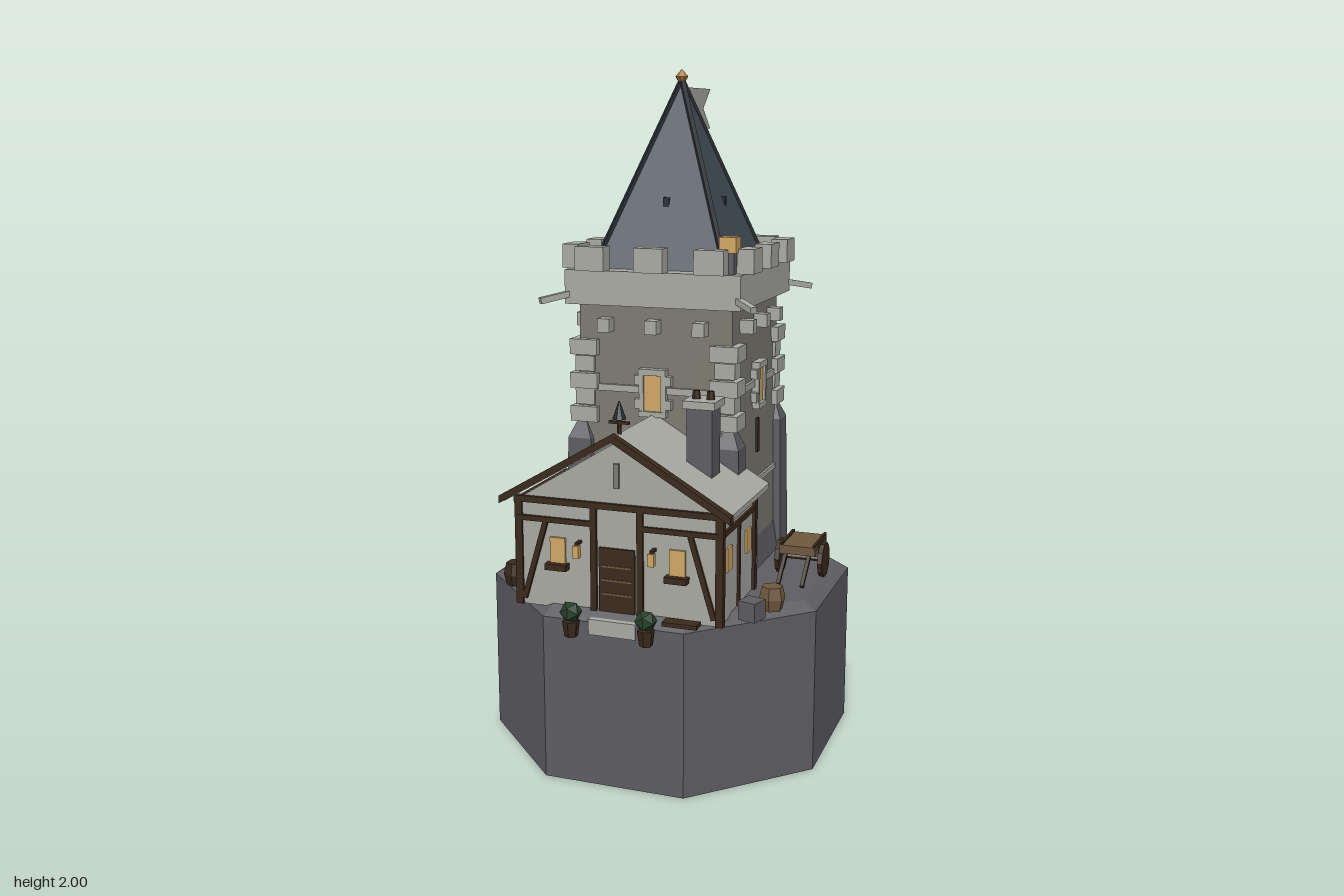
import * as THREE from 'three';

const mat = (name, color) => { const m = new THREE.MeshStandardMaterial({ color }); m.name = name; return m; };

export function createModel() {
  const stone = mat('paleStone', 0xa9a9a3), wall = mat('towerStone', 0x7c7970), rock = mat('rock', 0x5d5d62);
  const slate = mat('slate', 0x404b54), ridge = mat('darkSlate', 0x272d32), glow = mat('windowGlow', 0xd0a764);
  const gold = mat('gold', 0xa87840), wood = mat('darkWood', 0x3a291c), plank = mat('lightWood', 0x6e573e), leaf = mat('leaf', 0x26402a);
  const root = new THREE.Group();
  const TZ = -0.105; // tower centre

  const add = (name, geo, m, x = 0, y = 0, z = 0, parent = root) => {
    const g = geo.index ? geo.toNonIndexed() : geo;
    g.computeVertexNormals();
    const mesh = new THREE.Mesh(g, m);
    mesh.name = name;
    mesh.position.set(x, y, z);
    parent.add(mesh);
    return mesh;
  };
  const box = (name, m, w, h, d, x, y, z, parent) => add(name, new THREE.BoxGeometry(w, h, d), m, x, y, z, parent);
  const cyl = (name, m, rt, rb, h, n, x, y, z, parent) => add(name, new THREE.CylinderGeometry(rt, rb, h, n), m, x, y, z, parent);
  // Square frustum given by half widths and bottom/top heights
  const frustum = (name, m, top, bottom, y0, y1, x, z, parent) => add(name,
    new THREE.CylinderGeometry(top * Math.SQRT2, bottom * Math.SQRT2, y1 - y0, 4).rotateY(Math.PI / 4), m, x, (y0 + y1) / 2, z, parent);
  // Square bar between two points
  const bar = (name, m, a, b, w, h = w) => {
    const p = new THREE.Vector3(...a), q = new THREE.Vector3(...b);
    const mesh = box(name, m, w, h, p.distanceTo(q), 0, 0, 0);
    mesh.position.copy(p).add(q).multiplyScalar(0.5);
    mesh.lookAt(q);
    return mesh;
  };
  const extrude = (name, m, pts, depth, z) => add(name, new THREE.ExtrudeGeometry(
    new THREE.Shape(pts.map(p => new THREE.Vector2(...p))), { depth, bevelEnabled: false }), m, 0, 0, z);

  // Octagonal rock with chamfered rim
  const R = 0.506 / Math.cos(Math.PI / 8);
  add('rockBase', new THREE.CylinderGeometry(R, R, 0.485, 8).rotateY(Math.PI / 8), rock, 0, 0.2425, -0.03);
  add('rockRim', new THREE.CylinderGeometry(R - 0.043, R, 0.025, 8).rotateY(Math.PI / 8), rock, 0, 0.4975, -0.03);

  // Tower body, plinth, string courses and parapet
  frustum('towerBody', wall, 0.233, 0.25, 0.5, 1.34, 0, TZ);
  frustum('plinth', rock, 0.249, 0.264, 0.5, 0.6, 0, TZ);
  box('lowerBand', stone, 0.502, 0.016, 0.502, 0, 0.78, TZ);
  box('upperBand', stone, 0.494, 0.02, 0.494, 0, 1.085, TZ);
  box('parapet', stone, 0.534, 0.1, 0.534, 0, 1.38, TZ);

  // Details repeated on the four tower sides
  for (let i = 0; i < 4; i++) {
    const side = new THREE.Group();
    side.name = 'towerSide';
    side.position.z = TZ;
    side.rotation.y = i * Math.PI / 2;
    root.add(side);
    for (const x of [-0.18, 0, 0.18]) box('merlon', stone, 0.088, 0.07, 0.05, x, 1.465, 0.267, side);
    for (const x of [-0.145, 0, 0.145]) box('corbel', stone, 0.037, 0.04, 0.05, x, 1.272, 0.25, side);
    box('windowGlass', glow, 0.056, 0.11, 0.016, 0, 1.074, 0.244, side);
    for (const s of [-1, 1]) {
      box('windowJamb', stone, 0.014, 0.12, 0.03, s * 0.034, 1.077, 0.244, side);
      box('jambStone', stone, 0.022, 0.028, 0.026, s * 0.046, 1.115, 0.244, side);
      box('jambStone', stone, 0.022, 0.028, 0.026, s * 0.046, 1.045, 0.244, side);
    }
    box('windowLintel', stone, 0.084, 0.018, 0.034, 0, 1.14, 0.245, side);
    box('windowSill', stone, 0.084, 0.016, 0.034, 0, 1.016, 0.245, side);
    box('arrowSlit', wood, 0.02, 0.105, 0.009, 0, 0.92, 0.244, side);
    box('roofVent', ridge, 0.018, 0.03, 0.02, 0, 1.62, 0.128, side);
    // corner stones, buttress and spout
    for (let k = 0; k < 5; k++) {
      const w = k % 2 ? 0.06 : 0.085, e = k % 2 ? 0.246 : 0.258;
      box('cornerStone', stone, w, 0.046, w, e - w / 2, 1.203 - k * 0.05, e - w / 2, side);
    }
    frustum('buttress', rock, 0.036, 0.045, 0.5, 0.93, 0.228, 0.228, side);
    frustum('buttressCap', rock, 0.012, 0.036, 0.93, 0.985, 0.228, 0.228, side);
    const spout = box('waterSpout', stone, 0.02, 0.018, 0.11, 0.283, 1.352, 0.283, side);
    spout.rotation.set(0.18, Math.PI / 4, 0, 'YXZ');
  }

  // Spire with hip ridges, finial and pennant
  frustum('spire', slate, 0.001, 0.204, 1.43, 1.975, 0, TZ);
  for (const sx of [-1, 1]) for (const sz of [-1, 1])
    bar('hipRidge', ridge, [sx * 0.2, 1.435, TZ + sz * 0.2], [0, 1.97, TZ], 0.014);
  cyl('finialBase', gold, 0.02, 0.008, 0.02, 8, 0, 1.97, TZ);
  cyl('finialTip', gold, 0.002, 0.02, 0.02, 8, 0, 1.99, TZ);
  const flag = extrude('pennant', stone, [[0, 1.95], [0.265, 1.95], [0.195, 1.89], [0.265, 1.83], [0, 1.83]], 0.005, TZ);
  flag.rotation.y = Math.PI / 2;
  flag.position.x = -0.0025;

  // Beacon on the parapet
  box('beaconPost', rock, 0.055, 0.06, 0.055, 0.213, 1.46, 0.112);
  box('beaconLamp', glow, 0.05, 0.045, 0.05, 0.222, 1.512, 0.12);

  // House walls, roof and bargeboard
  extrude('houseWalls', stone, [[-0.3, 0.5], [0.3, 0.5], [0.3, 0.81], [0, 0.995], [-0.3, 0.81]], 0.36, 0.072);
  const chevron = (w, eave, top, t) => [[-w, eave - t], [0, top - t], [w, eave - t], [w, eave], [0, top], [-w, eave]];
  extrude('houseRoof', stone, chevron(0.333, 0.82, 1.015, 0.016), 0.385, 0.075);
  extrude('bargeboard', wood, chevron(0.34, 0.824, 1.024, 0.022), 0.027, 0.448);
  box('gableVent', wall, 0.016, 0.07, 0.008, 0, 0.9, 0.436);

  // House timber frame on the front
  const F = 0.434;
  box('frontTieBeam', wood, 0.62, 0.018, 0.018, 0, 0.812, F);
  for (const s of [-1, 1]) {
    box('cornerPost', wood, 0.022, 0.31, 0.022, s * 0.298, 0.655, 0.428);
    box('doorPost', wood, 0.018, 0.31, 0.016, s * 0.069, 0.655, F);
    box('frontRail', wood, 0.23, 0.015, 0.015, s * 0.185, 0.757, F);
    bar('brace', wood, [s * 0.215, 0.75, F], [s * 0.283, 0.52, F], 0.015);
    box('frontWindow', glow, 0.046, 0.075, 0.009, s * 0.178, 0.67, F + 0.002);
    box('windowBox', wood, 0.065, 0.018, 0.03, s * 0.178, 0.625, F + 0.01);
    box('doorLantern', glow, 0.018, 0.036, 0.018, s * 0.111, 0.68, 0.46);
    box('lanternBracket', wood, 0.01, 0.008, 0.03, s * 0.111, 0.702, 0.447);
    // side walls
    const X = s * 0.3;
    box('rearPost', wood, 0.018, 0.31, 0.02, X, 0.655, 0.12);
    box('middlePost', wood, 0.014, 0.25, 0.014, X, 0.635, 0.272);
    box('eaveBeam', wood, 0.018, 0.018, 0.36, X, 0.803, 0.26);
    box('sideRail', wood, 0.015, 0.015, 0.33, X, 0.757, 0.27);
    for (const z of [0.18, 0.362]) box('sideWindow', glow, 0.012, 0.068, 0.044, X, 0.675, z);
    // potted shrubs
    cyl('plantPot', wood, 0.025, 0.019, 0.045, 6, s * 0.111, 0.472, 0.505);
    add('shrub', new THREE.IcosahedronGeometry(0.032, 0), leaf, s * 0.111, 0.52, 0.505);
  }
  box('door', wood, 0.106, 0.185, 0.012, 0, 0.6, F);
  for (const y of [0.56, 0.6, 0.64]) box('doorStrap', plank, 0.09, 0.005, 0.005, 0, y, F + 0.006);
  box('doorStep', stone, 0.14, 0.045, 0.05, 0, 0.472, 0.455);
  box('benchSeat', wood, 0.1, 0.012, 0.04, 0.2, 0.51, 0.468);

  // Weathervane on the ridge
  cyl('vanePole', wood, 0.006, 0.006, 0.08, 6, 0, 1.04, 0.41);
  cyl('vaneTip', ridge, 0.002, 0.02, 0.05, 8, 0, 1.08, 0.41);
  box('vaneBar', wood, 0.06, 0.008, 0.008, 0, 1.045, 0.41);

  // Chimney
  box('chimney', rock, 0.075, 0.22, 0.075, 0.193, 0.97, 0.262);
  box('chimneyCap', stone, 0.095, 0.022, 0.095, 0.193, 1.085, 0.262);
  for (const x of [0.172, 0.214]) cyl('chimneyPot', wood, 0.01, 0.013, 0.025, 6, x, 1.107, 0.262);

  // Handcart
  box('cartBed', plank, 0.108, 0.026, 0.15, 0.402, 0.6, -0.075);
  cyl('cartAxle', wood, 0.008, 0.008, 0.14, 6, 0.402, 0.558, -0.075).rotation.z = Math.PI / 2;
  for (const s of [-1, 1]) {
    cyl('cartWheel', wood, 0.053, 0.053, 0.014, 10, 0.399 + s * 0.066, 0.558, -0.075).rotation.z = Math.PI / 2;
    box('cartSide', wood, 0.008, 0.02, 0.15, 0.402 + s * 0.05, 0.61, -0.075);
    bar('cartHandle', wood, [0.4 + s * 0.036, 0.592, -0.02], [0.4 + s * 0.036, 0.515, 0.072], 0.011);
  }

  // Log pile
  for (let row = 0; row < 3; row++) for (let k = 0; k < 4 - row; k++)
    cyl('log', wood, 0.0125, 0.0125, 0.175, 6, -0.393 + k * 0.025 + row * 0.0125, 0.521 + row * 0.021, -0.031).rotation.x = Math.PI / 2;

  // Barrels and crate
  for (const [x, z, m] of [[-0.37, 0.222, wood], [-0.37, 0.311, wood], [0.4, 0.267, plank]]) {
    cyl('barrelBottom', m, 0.038, 0.03, 0.034, 6, x, 0.526, z);
    cyl('barrelTop', m, 0.03, 0.038, 0.034, 6, x, 0.56, z);
  }
  box('crate', rock, 0.055, 0.055, 0.055, 0.362, 0.528, 0.34).rotation.y = -0.3;

  // Ivy climbing the tower's right side
  for (let k = 0; k < 17; k++) {
    const w = 0.04 + 0.02 * Math.abs(Math.sin(k * 2.3));
    const clump = box('ivyClump', leaf, 0.026, 0.044, w, -0.253 + k * 0.0006, 0.54 + k * 0.038, -0.25 + 0.022 * Math.sin(k * 1.7));
    clump.rotation.x = Math.sin(k * 3.1) * 0.5;
  }
  return root;
}
